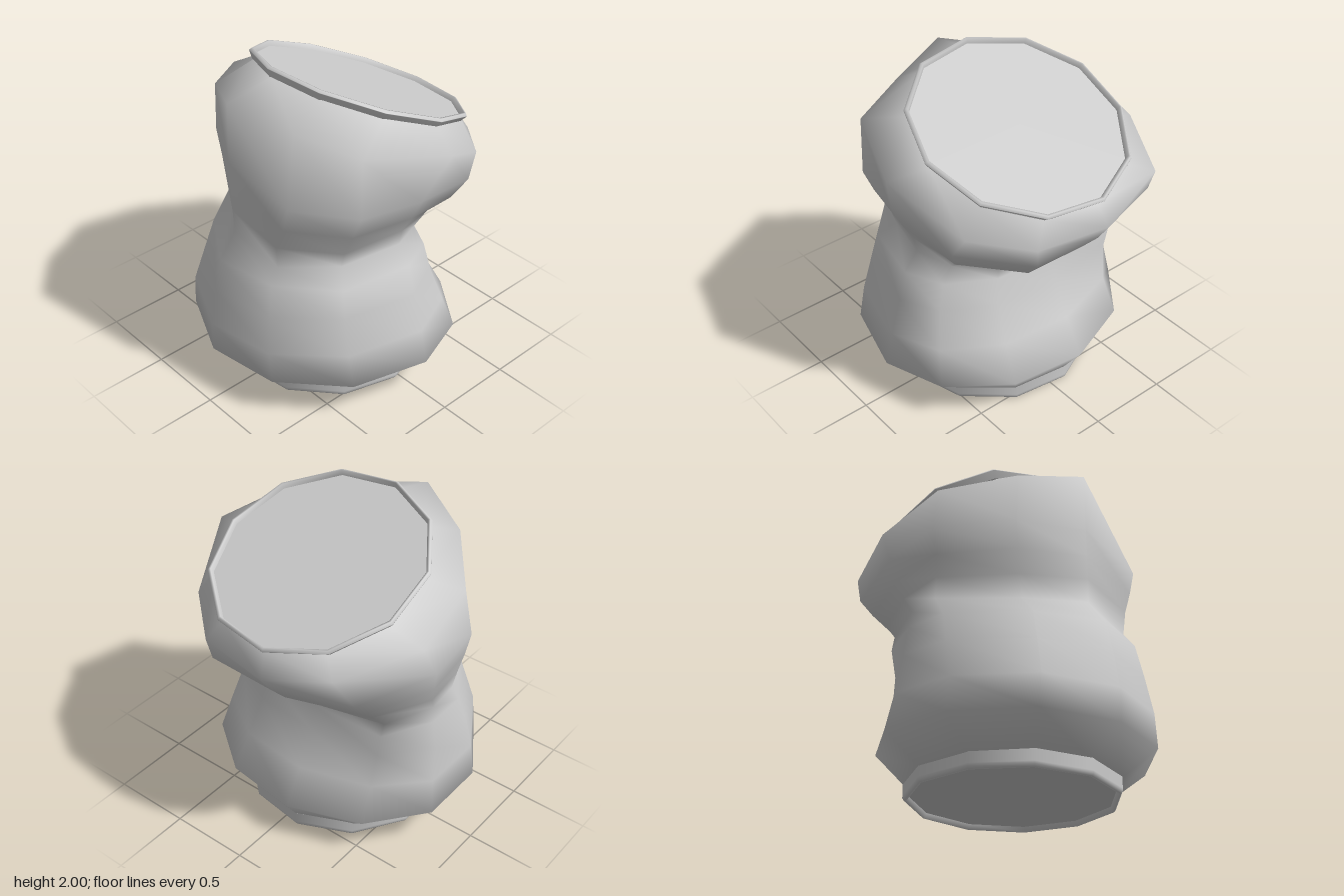
import * as THREE from 'three';

const SIDES = 11;
const material = new THREE.MeshStandardMaterial({ color: 0xcccccc, side: THREE.DoubleSide });

// Body cross-sections, bottom to top:
// [y front, y back, reach left(-x), reach right(+x), reach front, reach back, centre z]
const RINGS = [
  [0.09, 0.09, 0.64, 0.62, 0.62, 0.62, 0.03],
  [0.25, 0.25, 0.87, 0.83, 0.87, 0.70, 0],
  [0.45, 0.47, 0.84, 0.78, 0.87, 0.57, 0],
  [0.68, 0.70, 0.82, 0.71, 0.83, 0.46, 0],
  [0.88, 0.86, 0.79, 0.66, 0.785, 0.42, 0],
  [1.03, 0.93, 0.78, 0.57, 0.67, 0.39, 0],
  [1.18, 0.99, 0.80, 0.59, 0.675, 0.56, 0],
  [1.33, 1.08, 0.83, 0.66, 0.675, 0.68, 0],
  [1.50, 1.20, 0.865, 0.73, 0.675, 0.79, 0],
  [1.87, 1.32, 0.84, 0.83, 0.77, 0.77, -0.1],
  [1.94, 1.46, 0.63, 0.62, 0.59, 0.58, -0.22],
];

// Dents and bulges by side: ring -> [dx, dy, dz]
const DENTS = {
  0: { 9: [0, 0.05, -0.02] },
  1: {
    4: [0, -0.03, 0], 5: [-0.015, -0.07, -0.01], 6: [0, -0.09, 0],
    7: [0.03, -0.06, 0.02], 8: [0.04, -0.06, 0.02], 9: [-0.05, -0.01, 0.06],
  },
  2: {
    5: [0.02, -0.06, 0.04], 6: [0.02, -0.06, 0.05], 7: [0.05, -0.06, 0.05],
    8: [0.07, -0.07, 0.05], 9: [-0.07, -0.05, -0.07],
  },
  4: {
    3: [0.03, 0, -0.03], 4: [0.045, 0, -0.05], 5: [0.09, 0, -0.09], 6: [0.085, 0, -0.08],
    7: [0.065, 0, -0.06], 8: [0.06, 0, -0.05], 9: [0.06, -0.03, -0.02],
  },
  5: {
    3: [0, 0, -0.04], 4: [0, 0, -0.08], 5: [0, 0, -0.12], 6: [0, 0, -0.1],
    7: [0, 0, -0.08], 8: [0, 0, -0.08], 9: [0.025, 0, -0.02],
  },
  7: {
    3: [-0.03, 0, -0.05], 4: [-0.08, 0, -0.09], 5: [-0.09, 0, -0.09], 6: [-0.06, 0.03, -0.05],
    7: [-0.06, 0.03, -0.06], 8: [-0.05, 0.03, -0.08], 9: [0, 0.08, -0.1],
  },
  9: { 7: [0.02, 0, -0.05], 8: [0.02, 0, -0.06] },
  10: { 7: [0.04, 0, -0.03], 8: [0.05, 0, -0.035], 9: [-0.06, -0.04, -0.03] },
};

function bodyGeometry() {
  const pos = [], index = [];
  RINGS.forEach(([yF, yB, left, right, front, back, cz], r) => {
    for (let i = 0; i < SIDES; i++) {
      const a = (i / SIDES) * Math.PI * 2, c = Math.cos(a), s = Math.sin(a);
      const [dx, dy, dz] = DENTS[i]?.[r] ?? [0, 0, 0];
      pos.push(
        c * (c > 0 ? right : left) + dx,
        (yF + yB) / 2 + ((yF - yB) / 2) * s + dy,
        cz + s * (s > 0 ? front : back) + dz,
      );
      if (r < RINGS.length - 1) {
        const p = r * SIDES + i, q = r * SIDES + (i + 1) % SIDES;
        index.push(p, p + SIDES, q + SIDES, p, q + SIDES, q);
      }
    }
  });
  const g = new THREE.BufferGeometry();
  g.setAttribute('position', new THREE.Float32BufferAttribute(pos, 3));
  g.setIndex(index);
  g.computeVertexNormals();
  return g;
}

// Raised rim around a recessed flat panel; the rim's crest is at y = 0.
// foot is the rim's radius where it meets the body
function makeLid(name, radius, foot, height) {
  const lid = new THREE.Group();
  lid.name = name;
  const profile = [
    [foot, -height], [radius, -height * 0.3], [radius, -0.015],
    [radius - 0.01, 0], [radius - 0.022, 0], [radius - 0.032, -0.03],
  ].map(([x, y]) => new THREE.Vector2(x, y));
  const rim = new THREE.Mesh(new THREE.LatheGeometry(profile, SIDES, Math.PI / 2), material);
  rim.name = name + 'Rim';
  const disc = new THREE.CircleGeometry(radius - 0.032, SIDES).rotateX(-Math.PI / 2);
  const panel = new THREE.Mesh(disc, material);
  panel.name = name + 'Panel';
  panel.position.y = -0.03;
  lid.add(rim, panel);
  return lid;
}

export function createModel() {
  const can = new THREE.Group();
  can.name = 'crumpledCan';

  const body = new THREE.Mesh(bodyGeometry(), material);
  body.name = 'body';

  // Top tips towards the back
  const top = makeLid('top', 0.66, 0.63, 0.06);
  top.position.set(-0.015, 1.75, -0.23);
  top.rotation.x = -Math.PI / 8;

  const base = makeLid('base', 0.63, 0.63, 0.1);
  base.position.set(-0.012, 0, 0.033);
  base.rotation.x = Math.PI;

  can.add(body, top, base);
  return can;
}
